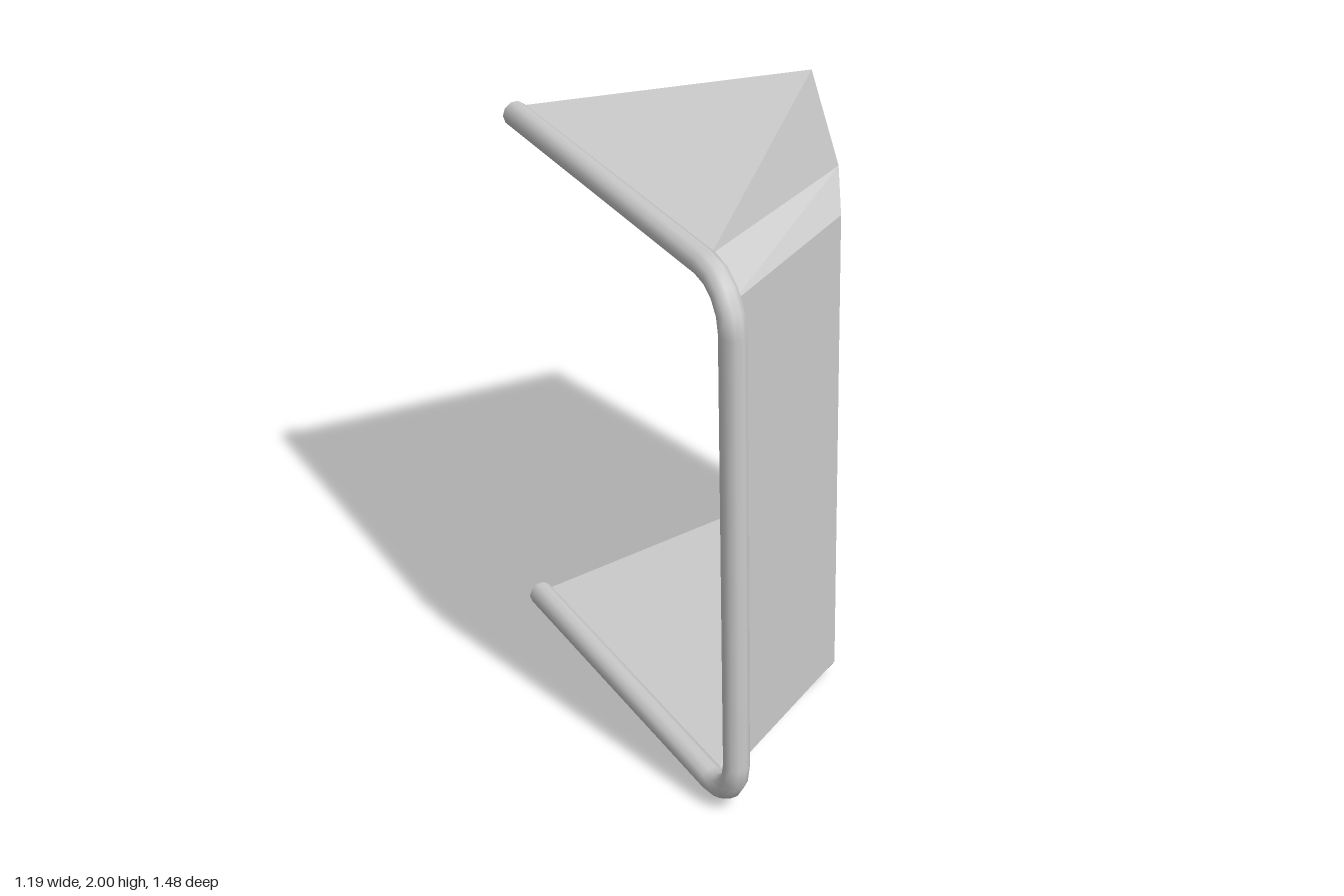
import * as THREE from 'three';
import { mergeVertices } from 'three/addons/utils/BufferGeometryUtils.js';

const RADIUS = 0.044;
const SIDES = 10;

// Flat panels, each a convex outline fanned into triangles from its first corner
function panelGeometry(faces) {
  const pos = [];
  for (const f of faces) {
    for (let i = 1; i < f.length - 1; i++) pos.push(...f[0], ...f[i], ...f[i + 1]);
  }
  const geo = new THREE.BufferGeometry();
  geo.setAttribute('position', new THREE.Float32BufferAttribute(pos, 3));
  geo.computeVertexNormals();
  return geo;
}

// Round pipe swept along a path of { x, y, z, angle }, angle being its outward direction
function pipeGeometry(path) {
  const pos = [], index = [];
  for (const p of path) {
    for (let j = 0; j < SIDES; j++) {
      const a = (j / SIDES) * Math.PI * 2;
      const out = RADIUS * Math.sin(a);
      pos.push(p.x + RADIUS * Math.cos(a), p.y + out * Math.sin(p.angle), p.z + out * Math.cos(p.angle));
    }
  }
  for (let i = 0; i < path.length - 1; i++) {
    for (let j = 0; j < SIDES; j++) {
      const a = i * SIDES + j, b = i * SIDES + (j + 1) % SIDES;
      index.push(a, b, a + SIDES, b, b + SIDES, a + SIDES);
    }
  }
  const geo = new THREE.BufferGeometry();
  geo.setAttribute('position', new THREE.Float32BufferAttribute(pos, 3));
  geo.setIndex(index);
  const merged = mergeVertices(geo);
  merged.computeVertexNormals();
  return merged;
}

export function createModel() {
  const group = new THREE.Group();
  const material = new THREE.MeshStandardMaterial({ color: 0xcccccc, side: THREE.DoubleSide });
  const flat = material.clone();
  flat.flatShading = true;

  const add = (name, geo, mat) => {
    const mesh = new THREE.Mesh(geo, mat);
    mesh.name = name;
    group.add(mesh);
  };

  // Corners shared by the shell panels at one end (flat level, chamfer level)
  const corners = (flatY, edgeY) => ({
    innerBack: [-0.54, flatY, -0.74],
    innerFront: [-0.52, flatY, 0.535],
    innerLip: [-0.52, edgeY, 0.655],
    outerFront: [0.13, flatY, 0.195],
    outerLip: [0.07, edgeY, 0.31],
    outerBack: [0.595, edgeY, -0.74],
  });
  const top = corners(1.98, 1.87);
  const bottom = corners(0.05, 0.16);

  // Front and slanted side walls
  add('frontWall', panelGeometry([
    [bottom.innerLip, bottom.outerLip, top.outerLip, top.innerLip],
  ]), flat);
  add('sideWall', panelGeometry([
    [bottom.outerLip, bottom.outerFront, bottom.outerBack, top.outerBack, top.outerFront, top.outerLip],
  ]), flat);

  // Top and bottom: a folded cover and a chamfer towards the front
  for (const [name, c, up] of [['top', top, true], ['bottom', bottom, false]]) {
    const faces = [
      [c.innerFront, c.outerBack, c.innerBack],
      [c.innerFront, c.outerFront, c.outerBack],
    ];
    const chamfer = [c.innerLip, c.outerLip, c.outerFront, c.innerFront];
    if (!up) [...faces, chamfer].forEach((f) => f.reverse());
    // Keep the fan of the cover anchored on triangles only, so reversing is safe
    add(name + 'Cover', panelGeometry(faces), flat);
    add(name + 'Chamfer', panelGeometry([chamfer]), flat);
  }

  // Bent pipe frame along the inner edge, open at both back ends
  const bend = 0.165, low = RADIUS, high = 2 - RADIUS, front = 0.697;
  const path = [{ x: -0.552, y: low, z: -0.74, angle: -Math.PI / 2 }];
  for (const [cy, start] of [[low + bend, -Math.PI / 2], [high - bend, 0]]) {
    for (let i = 0; i <= 4; i++) {
      const angle = start + (i / 4) * (Math.PI / 2);
      path.push({
        x: -0.54,
        y: cy + bend * Math.sin(angle),
        z: front - bend + bend * Math.cos(angle),
        angle,
      });
    }
  }
  path.push({ x: -0.552, y: high, z: -0.74, angle: Math.PI / 2 });
  add('pipeFrame', pipeGeometry(path), material);

  return group;
}
